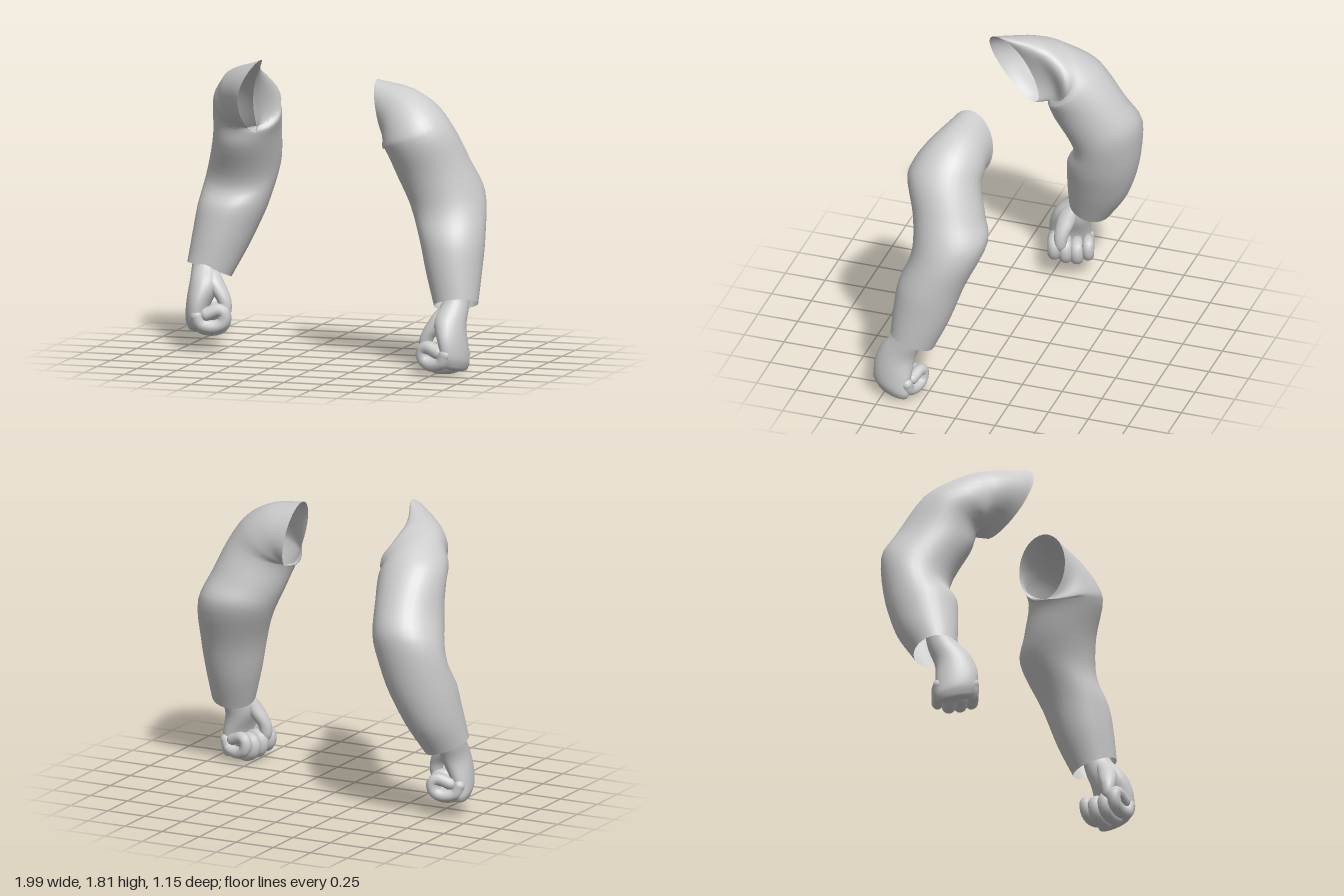
import * as THREE from 'three';

const grey = new THREE.MeshStandardMaterial({ color: 0xcccccc, side: THREE.DoubleSide });
grey.name = 'lightGrey';

const V = (a) => new THREE.Vector3(...a);

// Smooth skin through elliptical rings [centre, half-axis u, half-axis v, optional saddle bend];
// dir keeps the winding outward
function loft(rings, dir, steps = 4, seg = 32) {
  const curves = [0, 1, 2, 3].map((k) => new THREE.CatmullRomCurve3(rings.map((r) => V(r[k] ?? [0, 0, 0]))));
  const rows = (rings.length - 1) * steps;
  const pos = [], idx = [];
  for (let i = 0; i <= rows; i++) {
    const [C, U, W, B] = curves.map((c) => c.getPoint(i / rows));
    for (let j = 0; j < seg; j++) {
      const a = (j / seg) * Math.PI * 2;
      const p = C.clone().addScaledVector(U, Math.cos(a)).addScaledVector(W, dir * Math.sin(a));
      p.addScaledVector(B, Math.cos(2 * a));
      pos.push(p.x, p.y, p.z);
      if (i < rows) {
        const n = (j + 1) % seg, b = i * seg, d = b + seg;
        idx.push(b + j, d + j, b + n, b + n, d + j, d + n);
      }
    }
  }
  const g = new THREE.BufferGeometry();
  g.setAttribute('position', new THREE.Float32BufferAttribute(pos, 3));
  g.setIndex(idx);
  g.computeVertexNormals();
  return g;
}

function add(group, name, geometry) {
  const m = new THREE.Mesh(geometry, grey);
  m.name = name;
  group.add(m);
  return m;
}

// Sleeves, cuff to shoulder opening
const leftSleeve = [
  [[0.855, 0.415, 0.32], [0.132, 0.022, 0], [0, 0.045, 0.13]],
  [[0.825, 0.6, 0.27], [0.167, 0.01, 0], [0, 0.04, 0.168]],
  [[0.797, 0.8, 0.215], [0.197, 0, 0], [0, 0, 0.2]],
  [[0.737, 1.03, 0.125], [0.224, 0.02, 0], [0, -0.05, 0.228]],
  [[0.665, 1.2, 0.155], [0.215, 0.05, 0], [0, -0.02, 0.215]],
  [[0.585, 1.395, 0.212], [0.2, 0.075, 0], [0, 0, 0.222]],
  [[0.525, 1.455, 0.2], [0.155, 0.14, 0], [0, 0, 0.212]],
  [[0.445, 1.5, 0.175], [0.08, 0.18, 0], [0, 0, 0.185]],
  [[0.34, 1.52, 0.13], [-0.035, 0.2, 0.02], [0, 0, 0.14]],
];
const rightSleeve = [
  [[-0.865, 0.47, -0.21], [-0.132, 0.035, 0], [0, 0.035, 0.13]],
  [[-0.81, 0.65, -0.275], [-0.175, 0.01, 0], [0, 0.03, 0.185]],
  [[-0.755, 0.85, -0.325], [-0.21, 0, 0], [0, 0, 0.215]],
  [[-0.7, 1.08, -0.375], [-0.22, 0, 0], [0, -0.09, 0.205]],
  [[-0.65, 1.28, -0.28], [-0.205, 0, 0], [0, -0.06, 0.22]],
  [[-0.62, 1.445, -0.19], [-0.205, 0.02, 0.03], [0.02, -0.115, 0.155]],
  [[-0.605, 1.51, -0.12], [-0.17, 0.02, 0.1], [0.03, -0.145, 0.09]],
  [[-0.565, 1.545, -0.035], [-0.135, 0.02, 0.15], [0.01, -0.19, -0.01]],
  [[-0.525, 1.565, 0.06], [-0.05, 0.02, 0.15], [-0.03, -0.215, -0.08], [-0.02, 0, 0.012]],
  [[-0.483, 1.578, 0.142], [-0.015, 0, 0.105], [-0.05, -0.235, -0.1], [-0.033, 0, 0.022]],
];

// Wrist to knuckles, and the thumb from its fleshy base to the tip
const palm = [
  [[0.83, 0.54, 0.3], [0.07, 0, 0], [0, 0, 0.075]],
  [[0.835, 0.42, 0.335], [0.08, 0, 0], [0, 0.02, 0.085]],
  [[0.842, 0.31, 0.4], [0.09, 0, 0], [0, 0.03, 0.108]],
  [[0.878, 0.19, 0.42], [0.072, 0, 0], [0, 0.03, 0.125]],
  [[0.89, 0.1, 0.418], [0.062, 0, 0], [0, 0.03, 0.124]],
  [[0.885, 0.045, 0.415], [0.045, 0, 0], [0, 0.02, 0.1]],
  [[0.885, 0.03, 0.415], [0.001, 0, 0], [0, 0, 0.001]],
];
const thumb = [
  [0.81, 0.42, 0.37, 0.045], [0.79, 0.35, 0.42, 0.06], [0.75, 0.28, 0.45, 0.054], [0.72, 0.22, 0.47, 0.042],
  [0.715, 0.16, 0.475, 0.036], [0.725, 0.12, 0.475, 0.025], [0.727, 0.11, 0.475, 0.001],
].map(([x, y, z, r]) => [[x, y, z], [r, 0, 0], [0, 0, r]]);

// One fist; side -1 mirrors it, shift moves it to the other cuff
function makeHand(side, shift) {
  const hand = new THREE.Group();
  hand.name = side > 0 ? 'leftHand' : 'rightHand';
  const pivot = V([0.82, 0, 0.42]), up = V([0, 1, 0]);
  const turn = (p) => V(p).applyAxisAngle(up, -0.3).multiply(V([side, 1, 1])).toArray();
  const at = (p) => {
    const q = turn(V(p).sub(pivot).toArray());
    return [q[0] + side * pivot.x + shift[0], q[1] + shift[1], q[2] + pivot.z + shift[2]];
  };
  const place = (rings) => loft(rings.map(([c, u, v]) => [at(c), turn(u), turn(v)]), -side, 4, 24);
  add(hand, 'palm', place(palm));
  add(hand, 'thumb', place(thumb));
  // Curled fingers, index to little
  const path = [[0.885, 0.11], [0.86, 0.06], [0.78, 0.045], [0.73, 0.07], [0.722, 0.125], [0.755, 0.145], [0.83, 0.12]];
  [0.03, 0.008, 0, 0.02].forEach((lift, i) => {
    const r = i === 3 ? 0.035 : 0.041;
    const pts = path.map(([x, y]) => V(at([x, y + lift, 0.512 - 0.067 * i])));
    add(hand, 'finger', new THREE.TubeGeometry(new THREE.CatmullRomCurve3(pts), 24, r, 12));
    for (const p of [pts[0], pts[pts.length - 1]]) {
      add(hand, 'fingerEnd', new THREE.SphereGeometry(r, 12, 8)).position.copy(p);
    }
  });
  return hand;
}

export function createModel() {
  const model = new THREE.Group();
  model.name = 'arms';
  add(model, 'leftSleeve', loft(leftSleeve, 1));
  add(model, 'rightSleeve', loft(rightSleeve, -1));
  model.add(makeHand(1, [0, 0, 0]), makeHand(-1, [-0.015, 0.08, -0.51]));
  return model;
}
